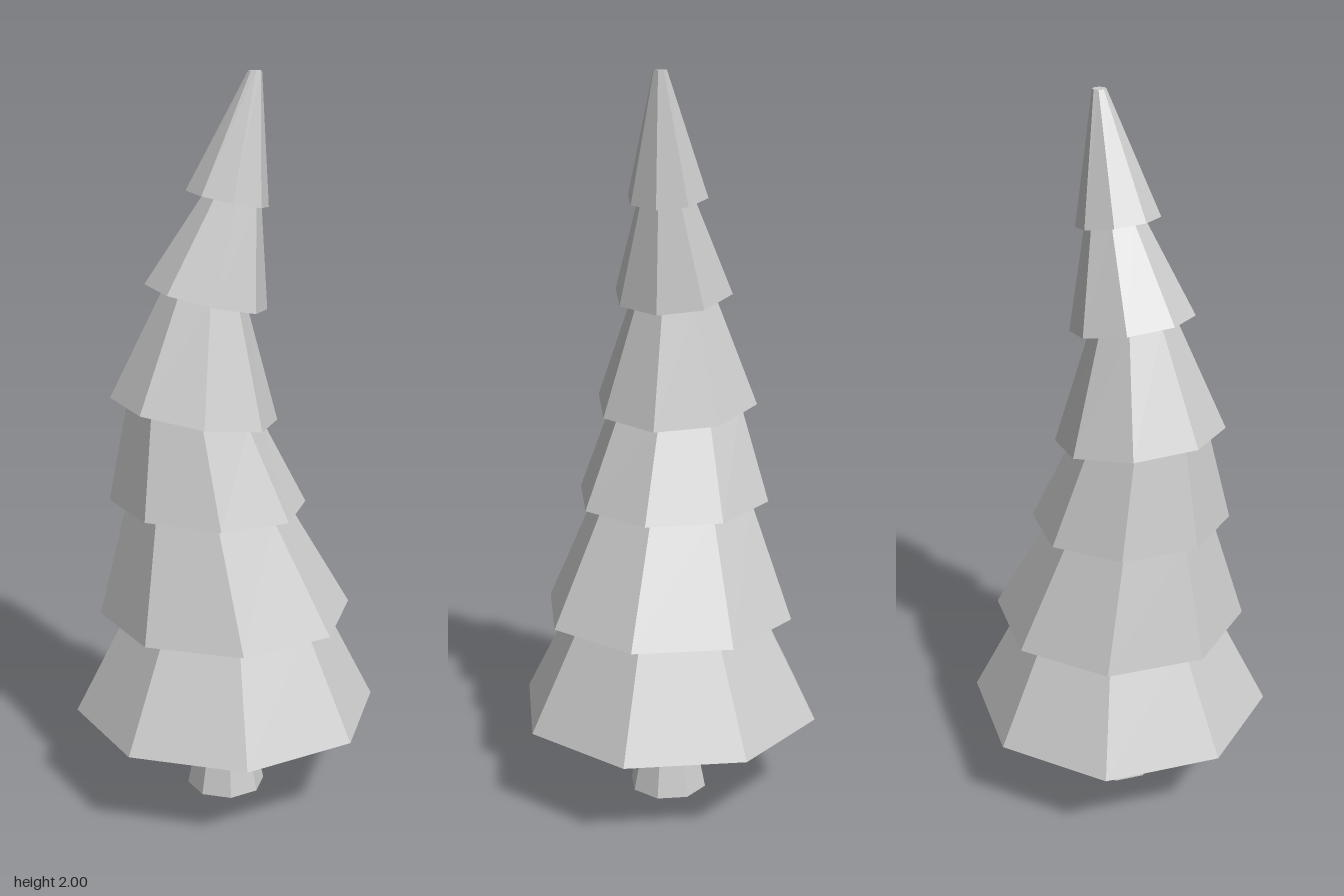
import * as THREE from 'three';

const SIDES = 8;
const material = new THREE.MeshStandardMaterial({ color: 0xcccccc, flatShading: true });

// Octagonal ring centred at (x, y); slope tilts it along x
const ring = (x, y, r, slope = 0) => ({ x, y, r, slope });

function ringPoint({ x, y, r, slope }, i) {
  const a = (i % SIDES) / SIDES * Math.PI * 2;
  const dx = r * Math.cos(a);
  return [x + dx, y + dx * slope, r * Math.sin(a)];
}

// Skin a series of rings, ordered from the bottom centre outward and up
function loft(name, rings) {
  const closed = [{ ...rings[0], r: 0 }, ...rings, { ...rings[rings.length - 1], r: 0 }];
  const pos = [];
  for (let k = 0; k < closed.length - 1; k++) {
    const low = closed[k], high = closed[k + 1];
    for (let i = 0; i < SIDES; i++) {
      const a = ringPoint(low, i), b = ringPoint(low, i + 1);
      const c = ringPoint(high, i + 1), d = ringPoint(high, i);
      if (low.r > 0) pos.push(...b, ...a, ...d);
      if (high.r > 0) pos.push(...b, ...d, ...c);
    }
  }
  const geometry = new THREE.BufferGeometry();
  geometry.setAttribute('position', new THREE.Float32BufferAttribute(pos, 3));
  geometry.computeVertexNormals();
  const mesh = new THREE.Mesh(geometry, material);
  mesh.name = name;
  return mesh;
}

// Each tier: its lower rim, and the ring where it meets the tier above
const tiers = [
  [ring(0, 0.25, 0.423), ring(0, 0.54, 0.275)],
  [ring(0, 0.54, 0.35), ring(-0.05, 0.857, 0.22, -0.05)],
  [ring(-0.048, 0.857, 0.27, -0.05), ring(-0.085, 1.118, 0.18, -0.17)],
  [ring(-0.085, 1.118, 0.226, -0.17), ring(-0.055, 1.42, 0.112, -0.23)],
  [ring(-0.052, 1.422, 0.163, -0.23), ring(0.018, 1.677, 0.076, -0.21)],
  [ring(0.004, 1.678, 0.109, -0.21), ring(0.075, 2, 0.018)],
];

export function createModel() {
  const tree = new THREE.Group();
  tree.name = 'tree';

  // Flared trunk, rising to the hollow under the lowest tier
  tree.add(loft('trunk', [ring(0, 0, 0.11), ring(0, 0.195, 0.07), ring(0, 0.42, 0.11)]));

  // Leaning stack of hollowed foliage skirts
  tiers.forEach(([rim, top], i) => {
    const mix = (key, t) => rim[key] + (top[key] - rim[key]) * t;
    const hollow = ring(mix('x', 0.4), rim.y + rim.r * 0.38, rim.r * 0.6, rim.slope);
    // Lower tiers run on up inside the next one
    const t = i < tiers.length - 1 ? 1.35 : 1;
    const end = ring(mix('x', t), mix('y', t), mix('r', t), top.slope);
    const walls = t > 1 ? [rim, top, end] : [rim, top];
    tree.add(loft('foliageTier' + (i + 1), [hollow, ...walls]));
  });
  return tree;
}
